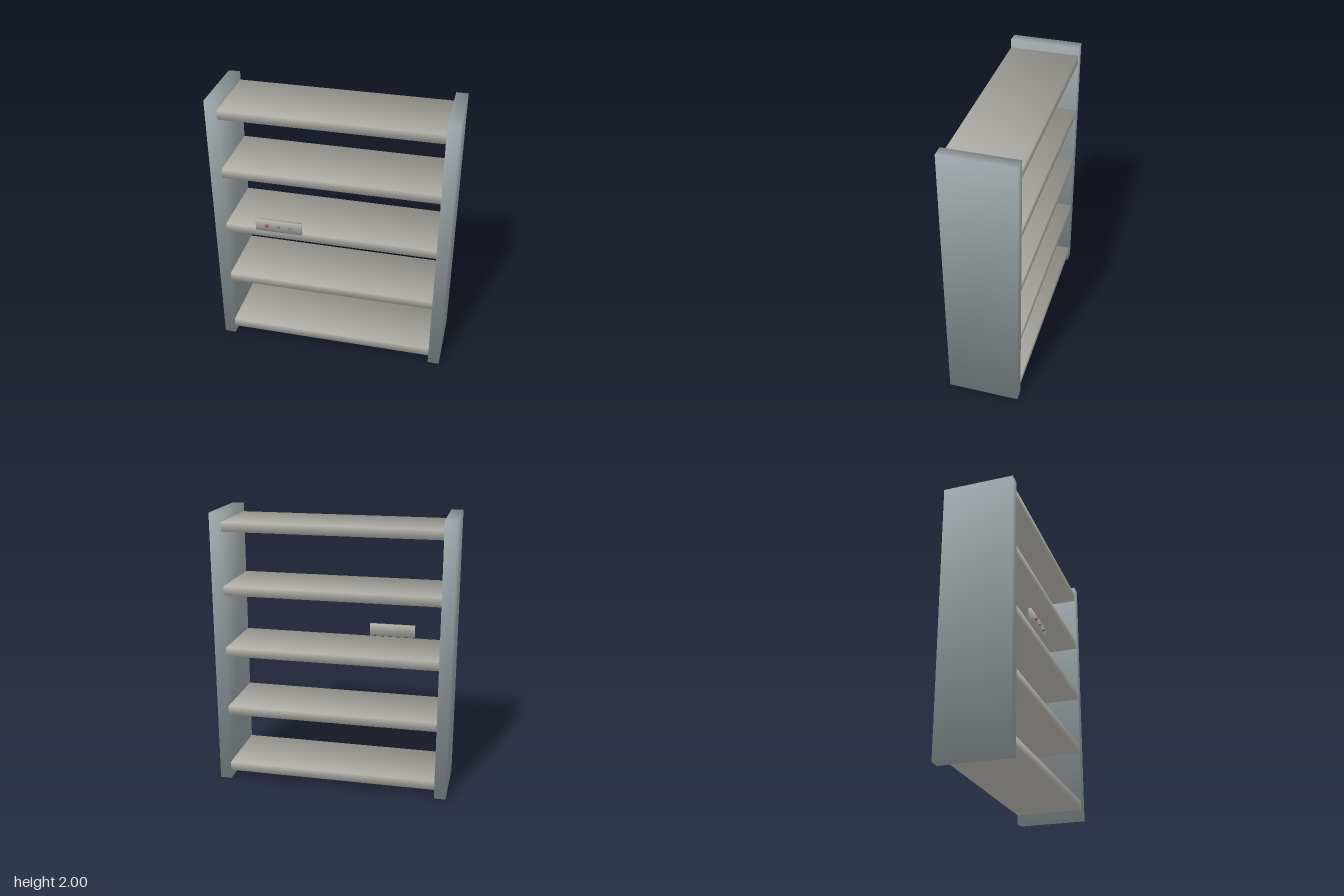
import * as THREE from 'three';

const shelfGrey = new THREE.MeshStandardMaterial({ color: 0xb6b4ad });
const panelGrey = new THREE.MeshStandardMaterial({ color: 0x9da6a9 });
const buttonGrey = new THREE.MeshStandardMaterial({ color: 0x85878a });
const red = new THREE.MeshStandardMaterial({ color: 0xb04a4a });

// Box whose corner normals point diagonally outward, so shading runs over the edges
function softBox(name, size, position, material) {
  const geometry = new THREE.BoxGeometry(...size);
  const { position: corners, normal } = geometry.attributes;
  for (let i = 0; i < corners.count; i++) {
    const n = new THREE.Vector3(
      Math.sign(corners.getX(i)), Math.sign(corners.getY(i)), Math.sign(corners.getZ(i))
    ).normalize();
    normal.setXYZ(i, n.x, n.y, n.z);
  }
  const mesh = new THREE.Mesh(geometry, material);
  mesh.name = name;
  mesh.position.set(...position);
  return mesh;
}

export function createModel() {
  const model = new THREE.Group();
  model.name = 'shelfUnit';
  const depth = 0.51, midZ = -0.02;

  // Side panels
  for (const side of [-1, 1]) {
    const name = side > 0 ? 'leftPanel' : 'rightPanel';
    model.add(softBox(name, [0.084, 2, depth], [side * 0.806, 1, midZ], panelGrey));
  }

  // Shelves, let into the side panels
  for (let i = 0; i < 5; i++) {
    model.add(softBox(`shelf${i + 1}`, [1.692, 0.066, depth - 0.003], [0, 0.1 + i * 0.4512, midZ], shelfGrey));
  }

  // Control plate with a row of three buttons
  const control = new THREE.Group();
  control.name = 'controlPanel';
  control.position.set(-0.362, 1.081, 0.25);
  control.add(softBox('controlPlate', [0.337, 0.092, 0.021], [0, 0, 0], shelfGrey));
  for (let i = -1; i <= 1; i++) {
    const geometry = new THREE.CylinderGeometry(0.011, 0.011, 0.016, 16);
    const button = new THREE.Mesh(geometry.rotateX(Math.PI / 2), i < 0 ? red : buttonGrey);
    button.name = i < 0 ? 'redButton' : 'button';
    button.position.set(i * 0.084, 0.002, 0.017);
    control.add(button);
  }
  model.add(control);

  return model;
}
